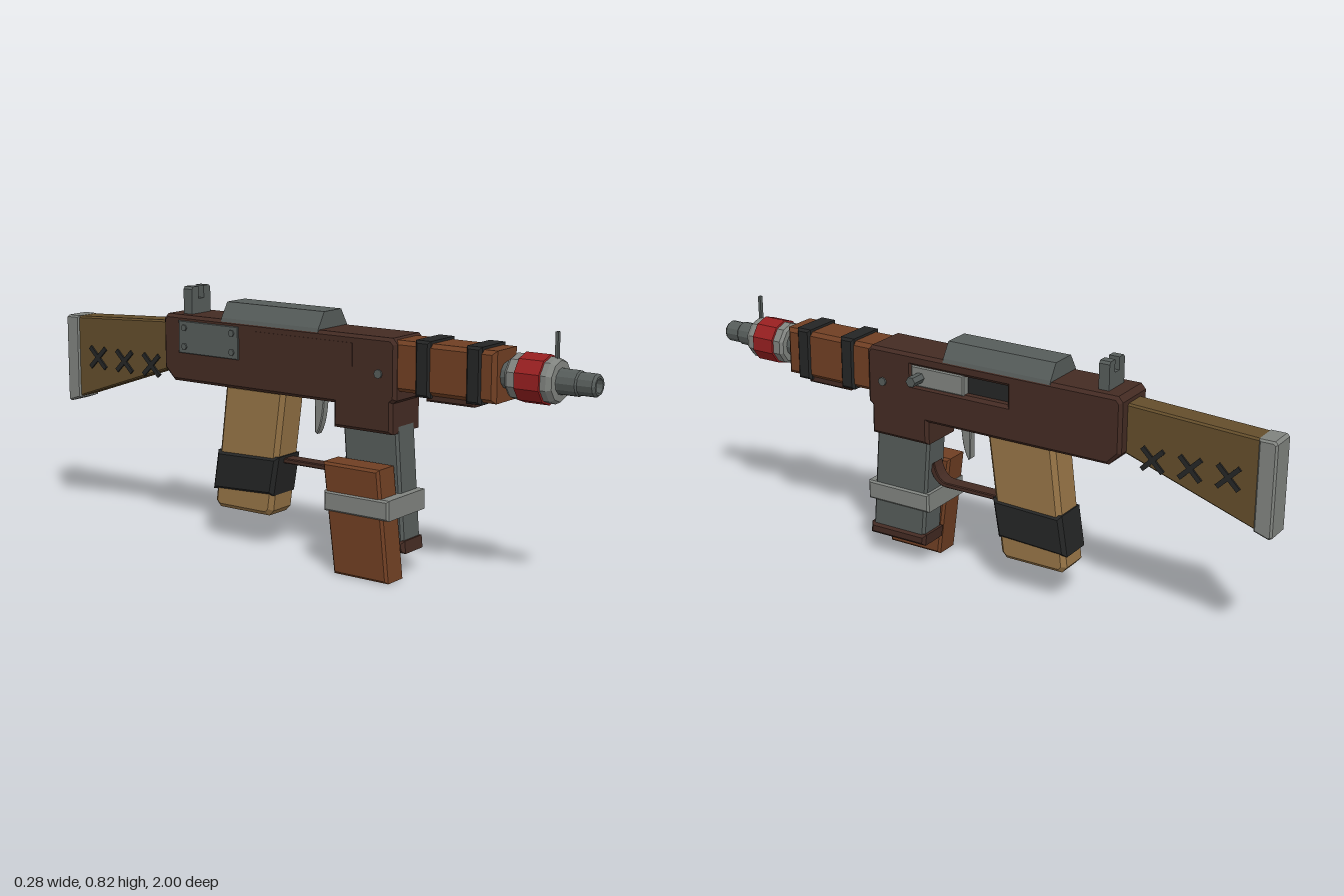
import * as THREE from 'three';

const mat = (name, color) => {
  const m = new THREE.MeshStandardMaterial({ color });
  m.name = name;
  return m;
};

export function createModel() {
  const M = {
    darkWood: mat('dark brown', 0x442b23),
    rust: mat('reddish brown', 0x703f23),
    olive: mat('olive brown', 0x634d2b),
    tan: mat('tan wood', 0x967446),
    steel: mat('dark steel', 0x565c5a),
    light: mat('light steel', 0x80837f),
    black: mat('black tape', 0x242525),
    red: mat('red tape', 0x961f20),
  };
  const CX = 0.01, AXIS_Y = 0.65;
  const root = new THREE.Group();
  root.name = 'gun';

  const add = (name, geo, material) => {
    const mesh = new THREE.Mesh(geo, material);
    mesh.name = name;
    root.add(mesh);
    return mesh;
  };
  const flat = (geo) => {
    const g = geo.index ? geo.toNonIndexed() : geo;
    g.computeVertexNormals();
    return g;
  };
  const shapeOf = (pts) => new THREE.Shape(pts.map(([a, b]) => new THREE.Vector2(a, b)));
  // Side outline of [z, y] points, extruded from x0 to x1 with chamfered edges
  const slab = (name, pts, x0, x1, material, b = 0.006, hole = null) => {
    const s = Array.isArray(pts) ? shapeOf(pts) : pts;
    if (hole) s.holes.push(new THREE.Path(hole.map(([a, c]) => new THREE.Vector2(a, c))));
    const g = new THREE.ExtrudeGeometry(s, {
      depth: x1 - x0 - 2 * b, curveSegments: 6, bevelEnabled: b > 0,
      bevelThickness: b, bevelSize: b, bevelOffset: -b, bevelSegments: 1,
    });
    g.rotateY(-Math.PI / 2);
    g.translate(x1 - b, 0, 0);
    return add(name, g, material);
  };
  const rect = (z0, z1, y0, y1) => [[z0, y0], [z1, y0], [z1, y1], [z0, y1]];
  // Cross-section of [x, y] points, extruded from z0 to z1
  const section = (name, pts, z0, z1, material) => {
    const g = new THREE.ExtrudeGeometry(shapeOf(pts), { depth: z1 - z0, bevelEnabled: false });
    g.translate(0, 0, z0);
    return add(name, g, material);
  };
  // Turned part around the barrel axis, points are [radius, z]
  const turned = (name, pts, sides, material) => {
    const g = new THREE.LatheGeometry(pts.map(([r, z]) => new THREE.Vector2(r, z)), sides);
    g.rotateX(Math.PI / 2);
    g.translate(CX, AXIS_Y, 0);
    return add(name, flat(g), material);
  };
  // Short rod along x
  const rod = (name, r, x0, x1, y, z, sides, material) => {
    const g = new THREE.CylinderGeometry(r, r, x1 - x0, sides);
    g.rotateZ(Math.PI / 2);
    g.translate((x0 + x1) / 2, y, z);
    return add(name, flat(g), material);
  };

  // Receiver with an open ejection port on the left side
  slab('receiver', [
    [-0.53, 0.555], [-0.49, 0.515], [0.148, 0.515], [0.148, 0.44], [0.362, 0.44],
    [0.362, 0.535], [0.375, 0.545], [0.375, 0.715], [0.36, 0.732], [-0.515, 0.732], [-0.53, 0.715],
  ], -0.07, 0.09, M.darkWood, 0.01, rect(-0.14, 0.205, 0.632, 0.692));
  slab('receiverSideWall', rect(-0.155, 0.22, 0.618, 0.706), -0.0715, -0.05, M.darkWood, 0);
  slab('portInterior', rect(-0.145, 0.21, 0.627, 0.697), -0.05, 0.06, M.black, 0);
  slab('bolt', rect(0.015, 0.208, 0.629, 0.695), 0.05, 0.088, M.light, 0.004);
  rod('boltHandle', 0.017, 0.08, 0.14, 0.66, 0.175, 6, M.steel);
  rod('receiverPin', 0.014, -0.076, 0.096, 0.622, 0.315, 8, M.steel);

  // Top cover and rear sight
  section('topCover', [[-0.068, 0.725], [0.088, 0.725], [0.084, 0.737], [0.054, 0.785],
    [-0.034, 0.785], [-0.064, 0.737]], -0.29, 0.09, M.steel);
  section('rearSight', [[-0.036, 0.72], [0.056, 0.72], [0.056, 0.812], [0.05, 0.82], [0.023, 0.82],
    [0.023, 0.78], [-0.003, 0.78], [-0.003, 0.82], [-0.03, 0.82], [-0.036, 0.812]], -0.47, -0.435, M.steel);

  // Riveted repair plate on the right side
  slab('repairPlate', rect(-0.46, -0.215, 0.61, 0.715), -0.076, -0.069, M.steel, 0.002);
  for (const z of [-0.435, -0.24]) for (const y of [0.632, 0.693]) {
    rod('plateRivet', 0.011, -0.081, -0.07, y, z, 6, M.steel);
  }

  // Handguard with tape bands
  slab('handguard', rect(0.36, 0.706, 0.572, 0.726), -0.058, 0.074, M.rust, 0.012);
  slab('handguardRail', rect(0.465, 0.63, 0.552, 0.58), -0.045, 0.063, M.darkWood);
  for (const z of [0.437, 0.61]) slab('handguardBand', rect(z, z + 0.052, 0.565, 0.734), -0.064, 0.08, M.black, 0.008);

  // Barrel, muzzle collar, red wrap and front sight
  turned('barrel', [[0.04, 0.69], [0.04, 0.88], [0.038, 0.885], [0.038, 0.94], [0.034, 0.945], [0.034, 0.992],
    [0.028, 1], [0.021, 1], [0.021, 0.96]], 12, M.steel);
  turned('bore', [[0.022, 0.965], [0, 0.965]], 12, M.black);
  turned('muzzleCollar', [[0.038, 0.73], [0.06, 0.73], [0.068, 0.74], [0.068, 0.865], [0.06, 0.88], [0.038, 0.882]], 10, M.light);
  turned('redWrap', [[0.066, 0.765], [0.0735, 0.767], [0.0735, 0.846], [0.066, 0.848]], 10, M.red);
  slab('frontSight', rect(0.861, 0.87, 0.7, 0.79), 0.004, 0.016, M.steel, 0);

  // Main magazine, spare magazine and the strap joining them
  slab('magazine', [[0.388, 0.1], [0.188, 0.1], [0.162, 0.46], [0.362, 0.46]], -0.038, 0.06, M.steel, 0.008);
  slab('magazineBase', [[0.397, 0.073], [0.183, 0.073], [0.178, 0.112], [0.393, 0.112]], -0.046, 0.068, M.darkWood, 0.01);
  slab('spareMagazine', [[0.396, 0], [0.198, 0], [0.156, 0.345], [0.36, 0.345]], -0.135, -0.043, M.rust, 0.008);
  slab('magazineStrap', rect(0.165, 0.4, 0.195, 0.258), -0.14, 0.066, M.light, 0.006);

  // Trigger and guard
  const trigger = new THREE.Shape();
  trigger.moveTo(0.068, 0.525);
  trigger.quadraticCurveTo(0.065, 0.43, 0.04, 0.392);
  trigger.lineTo(0.032, 0.398);
  trigger.quadraticCurveTo(0.032, 0.46, 0.03, 0.525);
  slab('trigger', trigger, -0.004, 0.024, M.light, 0.003);
  const guard = new THREE.Shape();
  guard.moveTo(0.18, 0.345);
  guard.quadraticCurveTo(0.165, 0.284, 0.115, 0.284);
  guard.lineTo(-0.11, 0.284);
  guard.lineTo(-0.11, 0.3);
  guard.lineTo(0.115, 0.3);
  guard.quadraticCurveTo(0.15, 0.302, 0.163, 0.36);
  slab('triggerGuard', guard, -0.015, 0.035, M.darkWood, 0.003);

  // Grip with a tape wrap
  slab('grip', [[-0.055, 0.525], [-0.293, 0.525], [-0.342, 0.13], [-0.325, 0.11], [-0.125, 0.11],
    [-0.108, 0.128]], -0.048, 0.069, M.tan, 0.014);
  slab('gripWrap', [[-0.078, 0.308], [-0.325, 0.302], [-0.346, 0.17], [-0.1, 0.18]], -0.055, 0.075, M.black, 0.012);

  // Stock, butt plate and crossed stitches on both sides
  slab('stock', [[-0.515, 0.704], [-0.515, 0.55], [-0.95, 0.402], [-0.95, 0.682]], -0.032, 0.05, M.olive);
  slab('buttPlate', [[-0.942, 0.683], [-0.942, 0.4], [-0.99, 0.384], [-1, 0.39], [-1, 0.675], [-0.99, 0.683]],
    -0.037, 0.055, M.light);
  for (const z of [-0.617, -0.737, -0.857]) for (const side of [-1, 1]) for (const turn of [-1, 1]) {
    const stitch = add('stitch', new THREE.BoxGeometry(0.009, 0.096, 0.015), M.black);
    stitch.position.set(0.009 + side * 0.0425, 0.547, z);
    stitch.rotation.x = turn * Math.PI / 4;
  }
  return root;
}
